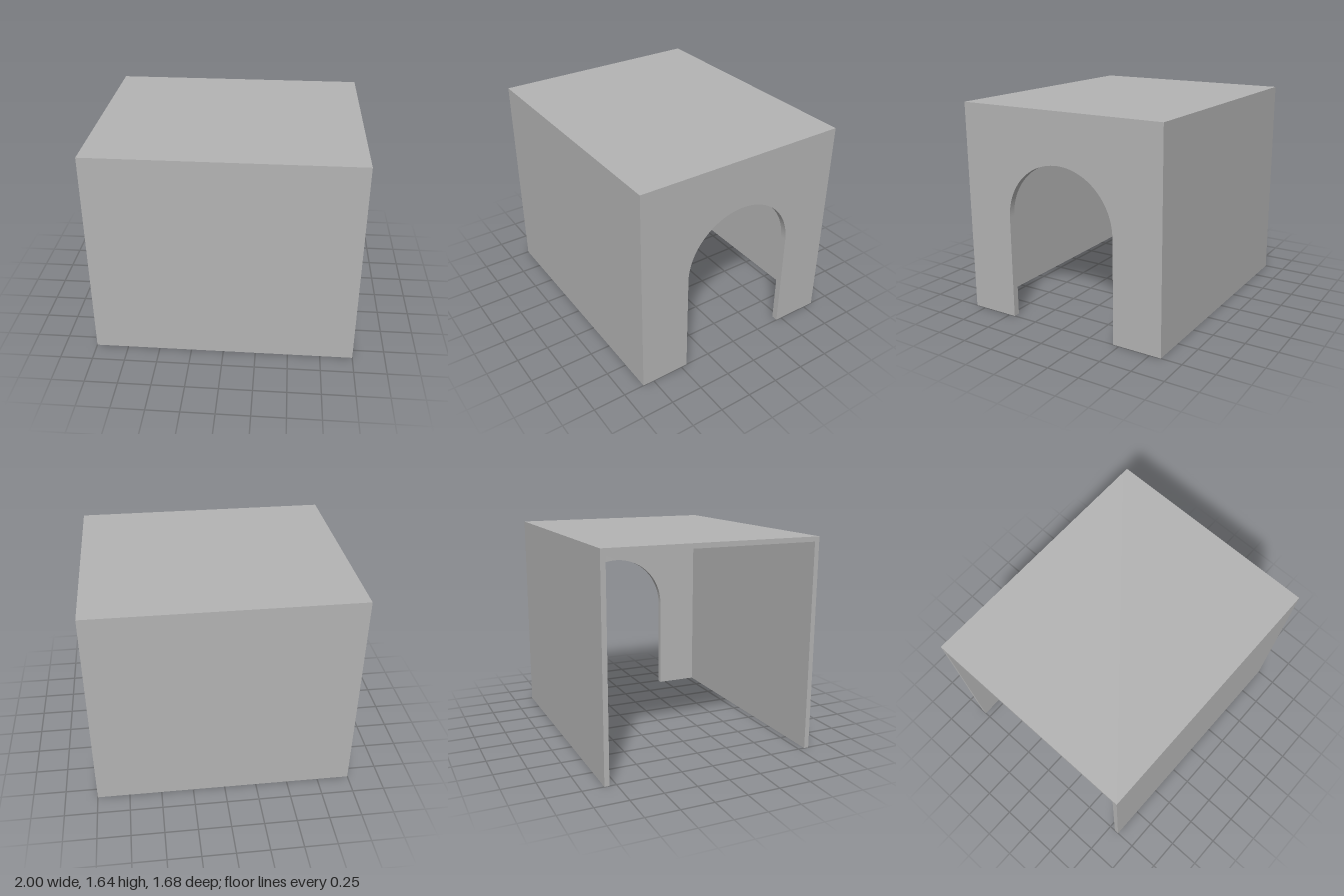
import * as THREE from 'three';

const LENGTH = 2, HEIGHT = 1.636, HALF_DEPTH = 0.838;
const SHELL = 0.037, END_WALL = 0.05;
const ARCH_RADIUS = 0.452, ARCH_SPRING = 0.798;

// Extrude a profile drawn in (z, y) along x, from x0 to x1.
function extrudeAlongX(shape, x0, x1) {
  const geometry = new THREE.ExtrudeGeometry(shape, {
    depth: x1 - x0, bevelEnabled: false, curveSegments: 48,
  });
  geometry.rotateY(Math.PI / 2); // profile x becomes -z, depth becomes +x
  geometry.translate(x0, 0, 0);
  return geometry;
}

export function createModel() {
  const group = new THREE.Group();
  group.name = 'archedShelter';
  const grey = new THREE.MeshStandardMaterial({ color: 0xb3b3b3 });
  grey.name = 'plain grey';

  const add = (name, geometry) => {
    const mesh = new THREE.Mesh(geometry, grey);
    mesh.name = name;
    group.add(mesh);
  };

  // Roof and side walls: one thin shell, open at the bottom and at -x
  const inner = HALF_DEPTH - SHELL;
  const shell = new THREE.Shape();
  shell.moveTo(-HALF_DEPTH, 0);
  shell.lineTo(-inner, 0);
  shell.lineTo(-inner, HEIGHT - SHELL);
  shell.lineTo(inner, HEIGHT - SHELL);
  shell.lineTo(inner, 0);
  shell.lineTo(HALF_DEPTH, 0);
  shell.lineTo(HALF_DEPTH, HEIGHT);
  shell.lineTo(-HALF_DEPTH, HEIGHT);
  shell.closePath();
  const wallX = LENGTH / 2 - END_WALL;
  add('roofAndSideWalls', extrudeAlongX(shell, -LENGTH / 2, wallX));

  // End wall at +x with a round-headed doorway
  const wall = new THREE.Shape();
  wall.moveTo(-HALF_DEPTH, 0);
  wall.lineTo(-ARCH_RADIUS, 0);
  wall.lineTo(-ARCH_RADIUS, ARCH_SPRING);
  wall.absarc(0, ARCH_SPRING, ARCH_RADIUS, Math.PI, 0, true);
  wall.lineTo(ARCH_RADIUS, 0);
  wall.lineTo(HALF_DEPTH, 0);
  wall.lineTo(HALF_DEPTH, HEIGHT);
  wall.lineTo(-HALF_DEPTH, HEIGHT);
  wall.closePath();
  add('archedEndWall', extrudeAlongX(wall, wallX, LENGTH / 2));

  return group;
}
